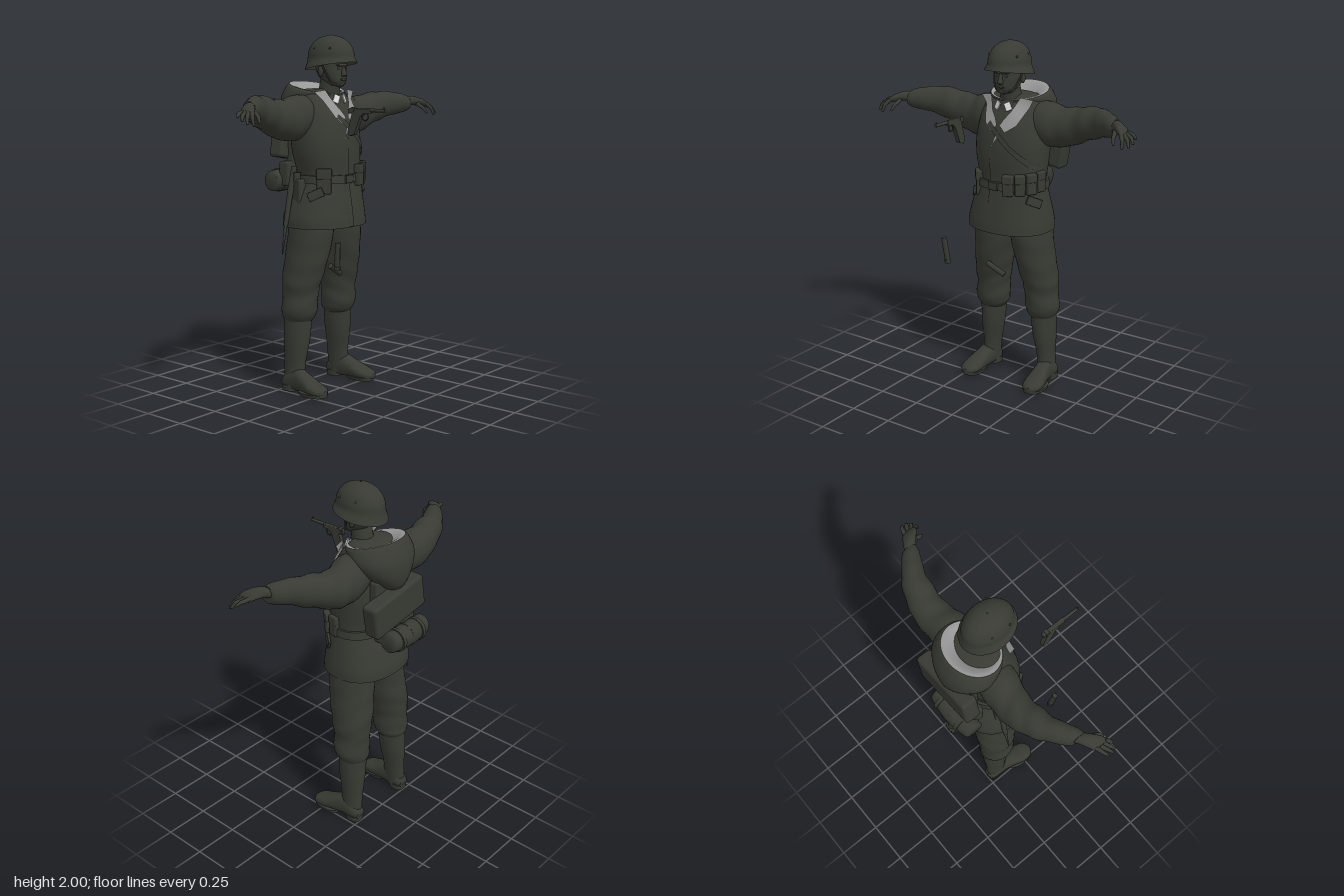
import * as THREE from 'three';
import { toCreasedNormals } from 'three/addons/utils/BufferGeometryUtils.js';
import { RoundedBoxGeometry } from 'three/addons/geometries/RoundedBoxGeometry.js';

const cloth = new THREE.MeshStandardMaterial({ name: 'darkFieldGrey', color: 0x383a33, side: THREE.DoubleSide });
const lining = new THREE.MeshStandardMaterial({ name: 'paleLining', color: 0x989898, side: THREE.DoubleSide });
const white = new THREE.MeshStandardMaterial({ name: 'collarWhite', color: 0xdedede });
const V = (a) => new THREE.Vector3(...a);

// Tube of superellipse rings along an axis; a section is [x, y, z, r1, r2],
// the radii lying along the next two axes in cyclic order (y axis: z, then x).
function loft(axis, secs, { n = 32, p = 2, caps = true, steps = 4, fold = 0, rule } = {}) {
  const A = 'xyz'.indexOf(axis), B = (A + 1) % 3, C = (A + 2) % 3;
  const mid = new THREE.CatmullRomCurve3(secs.map((s) => V(s.slice(0, 3))), false, 'catmullrom', 0.5);
  const rad = new THREE.CatmullRomCurve3(secs.map((s) => V([s[3], s[4], 0])), false, 'catmullrom', 0.5);
  const rows = (secs.length - 1) * steps, pos = [], idx = [];
  const sp = (v) => Math.sign(v) * Math.abs(v) ** (2 / p);
  for (let i = 0; i <= rows; i++) {
    const c = mid.getPoint(i / rows).toArray(), r = rad.getPoint(i / rows);
    for (let j = 0; j < n; j++) {
      const t = (j / n) * Math.PI * 2, q = [...c];
      const k = 1 + fold * Math.sin(i * 1.1 + 3 * Math.sin(t + 0.6)) * Math.sin(Math.PI * i / rows);
      q[B] += r.x * sp(Math.cos(t)) * k;
      q[C] += r.y * sp(Math.sin(t)) * k;
      pos.push(...(rule ? rule(q) : q));
      const a = i * n + j, b = i * n + (j + 1) % n;
      if (i < rows) idx.push(a, b, a + n, b, b + n, a + n);
    }
  }
  if (caps) for (const i of [0, rows]) {
    const c = pos.length / 3, m = mid.getPoint(i / rows).toArray();
    pos.push(...(rule ? rule(m) : m));
    for (let j = 0; j < n; j++) {
      const a = i * n + j, b = i * n + (j + 1) % n;
      idx.push(c, ...(i ? [a, b] : [b, a]));
    }
  }
  const g = new THREE.BufferGeometry();
  g.setAttribute('position', new THREE.Float32BufferAttribute(pos, 3));
  g.setIndex(idx);
  return toCreasedNormals(g, 0.9);
}

// Mirrored copy across x with corrected face order
function mirror(geo) {
  const g = geo.clone().scale(-1, 1, 1);
  for (const at of [g.attributes.position, g.attributes.normal])
    for (let i = 0; i < at.count; i += 3) {
      const a = V([at.getX(i), at.getY(i), at.getZ(i)]);
      at.setXYZ(i, at.getX(i + 1), at.getY(i + 1), at.getZ(i + 1));
      at.setXYZ(i + 1, a.x, a.y, a.z);
    }
  return g;
}

// Open strip between two rows of points
function strip(pairs) {
  const pos = pairs.flat(2), idx = [];
  for (let i = 0; i < pairs.length - 1; i++) idx.push(2 * i, 2 * i + 1, 2 * i + 2, 2 * i + 1, 2 * i + 3, 2 * i + 2);
  const g = new THREE.BufferGeometry();
  g.setAttribute('position', new THREE.Float32BufferAttribute(pos, 3));
  g.setIndex(idx);
  g.computeVertexNormals();
  return g;
}

const JACKET = [
  [-0.01, 0.945, -0.107, 0.205, 0.25], [-0.01, 1.0, -0.107, 0.2, 0.247], [-0.003, 1.1, -0.1, 0.178, 0.225],
  [0.008, 1.2, -0.092, 0.153, 0.198], [0.008, 1.25, -0.092, 0.148, 0.196], [0, 1.35, -0.1, 0.16, 0.21],
  [0, 1.45, -0.107, 0.162, 0.215], [0, 1.55, -0.117, 0.152, 0.2], [0, 1.62, -0.135, 0.135, 0.188],
  [0, 1.68, -0.145, 0.105, 0.16], [0, 1.705, -0.135, 0.065, 0.1]];

// Front surface of the jacket at (x, y)
function frontZ(x, y, off) {
  let i = 0;
  while (i < JACKET.length - 2 && JACKET[i + 1][1] < y) i++;
  const a = JACKET[i], b = JACKET[i + 1], t = Math.min(1, Math.max(0, (y - a[1]) / (b[1] - a[1])));
  const [cx, , cz, rz, rx] = a.map((v, k) => v + (b[k] - v) * t);
  const u = Math.min(1, Math.abs((x - cx) / rx));
  return Math.max(-0.06, cz + rz * (1 - u ** 2.3) ** (1 / 2.3)) + off;
}

export function createModel() {
  const root = new THREE.Group();
  root.name = 'soldier';
  const put = (name, geo, mat = cloth, pos = [0, 0, 0], rot = [0, 0, 0]) => {
    const m = new THREE.Mesh(geo, mat);
    m.name = name;
    m.position.set(...pos);
    m.rotation.set(...rot);
    root.add(m);
    return m;
  };
  const both = (name, geo) => { put(name + 'Left', geo); put(name + 'Right', mirror(geo)); };
  const box = (name, size, pos, rot, mat) => put(name, new RoundedBoxGeometry(...size, 2, Math.min(...size) * 0.2), mat, pos, rot);
  const rod = (name, a, b, ra, rb = ra, n = 10) => {
    const d = V(b).sub(V(a));
    const m = put(name, new THREE.CylinderGeometry(rb, ra, d.length(), n), cloth, V(a).addScaledVector(d, 0.5).toArray());
    m.quaternion.setFromUnitVectors(new THREE.Vector3(0, 1, 0), d.normalize());
    return m;
  };

  // Helmet: dome and flared brim, higher at the front
  put('helmet', loft('y', [
    [0, 1.828, -0.066, 0.158, 0.129], [0, 1.843, -0.066, 0.153, 0.122], [0, 1.87, -0.066, 0.146, 0.108], [0, 1.91, -0.066, 0.14, 0.103],
    [0, 1.955, -0.066, 0.113, 0.084], [0, 1.985, -0.066, 0.068, 0.05], [0, 2.0, -0.066, 0.004, 0.004]],
  { n: 40, caps: false, rule: ([x, y, z]) => [x, y + (z + 0.066) * Math.max(0, 1.9 - y) * 2, z] }));
  for (const s of [-1, 1]) for (const z of [0.0, -0.11])
    put('helmetRivet', new THREE.SphereGeometry(0.006, 8, 6), cloth, [s * 0.09, 1.925, z]);

  // Head and face
  put('head', loft('y', [
    [0, 1.722, -0.025, 0.037, 0.036], [0, 1.745, -0.038, 0.06, 0.057], [0, 1.78, -0.058, 0.08, 0.071],
    [0, 1.82, -0.066, 0.086, 0.077], [0, 1.87, -0.07, 0.09, 0.077], [0, 1.93, -0.07, 0.07, 0.06]], { p: 2.3 }));
  put('nose', loft('y', [[0, 1.772, 0.018, 0.012, 0.014], [0, 1.782, 0.022, 0.023, 0.015], [0, 1.83, 0.013, 0.014, 0.008]], { n: 12 }));
  put('lips', new THREE.SphereGeometry(1, 14, 8).scale(0.024, 0.008, 0.014), cloth, [0, 1.756, 0.016]);
  put('chin', new THREE.SphereGeometry(0.02, 12, 8), cloth, [0, 1.735, 0.003]);
  put('brow', new THREE.SphereGeometry(1, 14, 8).scale(0.052, 0.009, 0.016), cloth, [0, 1.835, 0.011]);
  for (const s of [-1, 1]) {
    put('ear', new THREE.SphereGeometry(1, 10, 8).scale(0.012, 0.03, 0.018), cloth, [s * 0.08, 1.8, -0.075]);
    put('eye', new THREE.SphereGeometry(0.009, 10, 8), cloth, [s * 0.03, 1.817, 0.01]);
    put('chinStrap', new THREE.TubeGeometry(new THREE.CatmullRomCurve3(
      [[0.092, 1.84, -0.06], [0.08, 1.79, -0.035], [0.055, 1.738, -0.012], [0, 1.716, 0.0]].map(([x, y, z]) => V([s * x, y, z]))), 16, 0.005, 6));
  }
  rod('neck', [0, 1.57, -0.1], [0, 1.76, -0.07], 0.062, 0.056, 24);

  // Jacket body, hood draped down the back, and collar
  put('jacket', loft('y', JACKET, { n: 48, p: 2.3 }));
  const tilt = ([x, y, z]) => [x, y + Math.max(0, y - 1.5) * 1.1 * (-0.15 - z), z];
  put('hood', loft('y', [
    [0, 1.46, -0.28, 0.04, 0.025], [0, 1.51, -0.27, 0.09, 0.09], [0, 1.57, -0.245, 0.125, 0.16],
    [0, 1.63, -0.215, 0.145, 0.195], [0, 1.69, -0.18, 0.148, 0.184], [0, 1.708, -0.17, 0.143, 0.168]], { n: 40, caps: false, rule: tilt }));
  put('hoodLining', loft('y', [
    [0, 1.708, -0.17, 0.143, 0.168], [0, 1.703, -0.165, 0.12, 0.14], [0, 1.67, -0.14, 0.1, 0.1], [0, 1.6, -0.12, 0.07, 0.07]],
  { n: 40, caps: false, rule: tilt }), lining);
  put('tunicCollar', loft('y', [[0, 1.57, -0.085, 0.095, 0.09], [0, 1.63, -0.085, 0.08, 0.078], [0, 1.675, -0.088, 0.07, 0.07]], { caps: false }));
  const at = (x, y, off) => [x, y, frontZ(x, y, off)];
  for (const s of [-1, 1]) {
    const w = s > 0 ? 1.06 : 0.9;
    put('lapel', strip([
      [at(s * 0.168, 1.69, 0.015), at(s * 0.095, 1.7, 0.03)], [at(s * 0.137 * w, 1.645, 0.02), at(s * 0.076, 1.66, 0.025)],
      [at(s * 0.12 * w, 1.6, 0.016), at(s * 0.056, 1.62, 0.018)], [at(s * 0.1 * w, 1.555, 0.014), at(s * 0.028, 1.585, 0.014)],
      [at(s * 0.045, 1.515, 0.012), at(s * 0.008, 1.55, 0.012)]]), lining);
    box('collarTab', [0.036, 0.046, 0.008], [s * 0.034, 1.65, 0.0], [-0.25, s * 0.4, s * 0.5], white);
    box('pocketFlap', [0.09, 0.05, 0.014], [s * 0.2, 1.135, -0.01], [-0.15, s * 0.95, s * -0.3]);
  }
  put('openFacing', strip([[at(0.008, 1.52, 0.01), at(-0.012, 1.5, 0.01)], [at(0.0, 1.48, 0.01), at(-0.035, 1.43, 0.01)]]), lining);

  // Front placket and diagonal sling
  const ribbon = (name, pts, w, off) => put(name, strip(Array.from({ length: 13 }, (_, i) => {
    const [a, b] = pts, t = i / 12, x = a[0] + (b[0] - a[0]) * t, y = a[1] + (b[1] - a[1]) * t;
    const l = Math.hypot(b[0] - a[0], b[1] - a[1]), nx = (b[1] - a[1]) / l * w, ny = (a[0] - b[0]) / l * w;
    return [at(x - nx, y - ny, off), at(x + nx, y + ny, off)];
  })));
  ribbon('placket', [[-0.025, 0.95], [-0.025, 1.44]], 0.02, 0.006);
  ribbon('slingStrap', [[-0.08, 1.57], [0.2, 1.33]], 0.014, 0.012);

  // Belt with buckle and pouches set around the waist
  put('belt', loft('y', [[0.008, 1.19, -0.092, 0.166, 0.21], [0.008, 1.235, -0.092, 0.161, 0.207]], { n: 48, p: 2.3 }));
  box('buckle', [0.06, 0.045, 0.014], [-0.015, 1.212, 0.075], [0, 0, 0]);
  const around = (name, deg, size, y, out = 0) => {
    const f = deg * Math.PI / 180;
    return box(name, size, [0.008 + (0.21 + out) * Math.sin(f), y, -0.092 + (0.172 + out) * Math.cos(f)], [0, f, 0]);
  };
  for (const [deg, lift] of [[20, 0], [39, 0.004], [58, 0.01], [80, 0.015]]) {
    const out = deg > 70 ? -0.012 : 0;
    around('ammoPouch', deg, [0.058, 0.105, 0.038], 1.222 + lift, out);
    around('ammoPouchFlap', deg, [0.062, 0.05, 0.045], 1.262 + lift, out);
  }
  around('holster', -52, [0.08, 0.13, 0.04], 1.2, -0.008);
  around('holsterFlap', -52, [0.084, 0.06, 0.047], 1.245, -0.008);
  around('canteen', -105, [0.1, 0.17, 0.06], 1.13);
  rod('canteenCap', [-0.21, 1.2, -0.137], [-0.21, 1.25, -0.137], 0.02);

  // Bayonet at the right hip
  rod('bayonetHandle', [-0.205, 1.28, -0.16], [-0.228, 1.17, -0.165], 0.016);
  rod('scabbard', [-0.228, 1.17, -0.165], [-0.268, 0.96, -0.17], 0.018, 0.013);
  rod('bayonetTip', [-0.268, 0.96, -0.17], [-0.296, 0.8, -0.17], 0.01, 0.003);

  // Pack box hung at a slant, rolled bundle and bread bag on the back
  box('packBox', [0.4, 0.19, 0.095], [0.02, 1.385, -0.32], [0, 0, -0.17]);
  box('packFrame', [0.26, 0.27, 0.05], [0, 1.4, -0.265], [0, 0, 0]);
  box('breadBag', [0.26, 0.14, 0.07], [-0.04, 1.23, -0.275], [0, 0, 0]);
  put('bedroll', loft('x', [
    [-0.205, 1.187, -0.335, 0.05, 0.05], [-0.185, 1.187, -0.338, 0.059, 0.056], [-0.06, 1.187, -0.35, 0.064, 0.064],
    [0.07, 1.187, -0.342, 0.059, 0.058], [0.09, 1.187, -0.34, 0.05, 0.05]], { n: 28 }));
  for (const x of [-0.13, -0.05, 0.03]) rod('bedrollStrap', [x - 0.011, 1.187, -0.348], [x + 0.011, 1.187, -0.348], 0.066, 0.066, 28);

  // Sleeves, palms and fingers
  both('sleeve', loft('x', [
    [0.08, 1.57, -0.14, 0.105, 0.1], [0.2, 1.55, -0.15, 0.124, 0.108], [0.28, 1.54, -0.16, 0.112, 0.098], [0.36, 1.55, -0.167, 0.105, 0.092],
    [0.44, 1.577, -0.155, 0.094, 0.085], [0.52, 1.595, -0.135, 0.083, 0.075], [0.58, 1.606, -0.1, 0.07, 0.068],
    [0.64, 1.607, -0.065, 0.058, 0.058], [0.67, 1.607, -0.048, 0.046, 0.046]], { fold: 0.03 }));
  both('palm', loft('x', [
    [0.64, 1.61, -0.06, 0.03, 0.034], [0.69, 1.622, -0.025, 0.028, 0.04], [0.735, 1.612, 0.008, 0.023, 0.047], [0.765, 1.597, 0.022, 0.013, 0.042]], { n: 20 }));
  const fingers = [
    [[0.7, 1.605, 0.02], [0.712, 1.578, 0.058], [0.722, 1.552, 0.075]], [[0.752, 1.603, 0.052], [0.772, 1.575, 0.075], [0.778, 1.542, 0.088]],
    [[0.76, 1.6, 0.036], [0.795, 1.578, 0.06], [0.808, 1.55, 0.075]], [[0.763, 1.6, 0.016], [0.803, 1.588, 0.037], [0.82, 1.565, 0.05]],
    [[0.755, 1.602, -0.008], [0.797, 1.598, 0.005], [0.818, 1.583, 0.018]]];
  for (const s of [-1, 1]) for (const f of fingers) {
    const [a, b, c] = f.map(([x, y, z]) => [s * x, y, z]);
    rod('fingerBase', a, b, 0.0125, 0.0105);
    rod('fingerTip', b, c, 0.0105, 0.007);
    put('knuckle', new THREE.SphereGeometry(0.0107, 10, 8), cloth, b);
    put('fingertip', new THREE.SphereGeometry(0.0072, 8, 6), cloth, c);
  }

  // Trousers bloused over tall boots
  put('trouserSeat', loft('y', [[0, 0.905, -0.135, 0.05, 0.08], [0, 0.935, -0.125, 0.11, 0.17], [0, 1.0, -0.11, 0.14, 0.22]]));
  both('trouserLeg', loft('y', [
    [0.172, 0.405, -0.166, 0.078, 0.07], [0.17, 0.435, -0.163, 0.096, 0.09], [0.172, 0.48, -0.156, 0.103, 0.1], [0.165, 0.55, -0.155, 0.105, 0.094],
    [0.162, 0.62, -0.15, 0.114, 0.101], [0.15, 0.7, -0.14, 0.127, 0.106], [0.136, 0.8, -0.125, 0.133, 0.11],
    [0.122, 0.9, -0.115, 0.136, 0.117], [0.115, 1.0, -0.11, 0.13, 0.115]], { fold: 0.016 }));
  both('bootShaft', loft('y', [
    [0.197, 0.03, -0.18, 0.06, 0.044], [0.193, 0.1, -0.178, 0.067, 0.046], [0.188, 0.18, -0.176, 0.069, 0.051],
    [0.18, 0.3, -0.17, 0.081, 0.066], [0.173, 0.43, -0.166, 0.084, 0.073]]));
  both('bootFoot', loft('z', [
    [0.197, 0.045, -0.248, 0.03, 0.03], [0.198, 0.058, -0.215, 0.044, 0.05], [0.2, 0.073, -0.14, 0.047, 0.066], [0.207, 0.062, -0.08, 0.051, 0.054],
    [0.215, 0.046, -0.01, 0.06, 0.036], [0.218, 0.037, 0.045, 0.05, 0.025], [0.218, 0.033, 0.072, 0.02, 0.012]], { p: 2.3 }));
  both('bootSole', loft('y', [[0.216, 0.006, -0.02, 0.088, 0.06], [0.216, 0.024, -0.02, 0.09, 0.064]], { p: 2.3, steps: 1 }));
  both('bootHeel', loft('y', [[0.198, 0, -0.203, 0.045, 0.042], [0.198, 0.035, -0.203, 0.047, 0.045]], { p: 2.8, steps: 1 }));

  // Loose pistol in front of the right shoulder
  const grip = new THREE.Shape([[0.285, 1.585], [0.26, 1.565], [0.22, 1.47], [0.185, 1.46], [0.175, 1.485], [0.205, 1.585]].map((q) => new THREE.Vector2(...q)));
  put('pistolGrip', new THREE.ExtrudeGeometry(grip, { depth: 0.024, bevelEnabled: false }), cloth, [-0.128, 0, 0], [0, -Math.PI / 2, 0]);
  box('pistolReceiver', [0.024, 0.028, 0.145], [-0.14, 1.594, 0.25], [0, 0, 0]);
  rod('pistolBarrel', [-0.14, 1.6, 0.31], [-0.14, 1.6, 0.418], 0.01, 0.008, 14);
  box('pistolSight', [0.006, 0.014, 0.01], [-0.14, 1.61, 0.41], [0, 0, 0]);
  rod('pistolToggle', [-0.154, 1.6, 0.205], [-0.126, 1.6, 0.205], 0.014, 0.014, 14);
  put('triggerGuard', new THREE.TorusGeometry(0.02, 0.004, 6, 18), cloth, [-0.14, 1.565, 0.285], [0, Math.PI / 2, 0]);

  // Loose magazine and the slim case against the thigh
  rod('magazine', [-0.25, 0.755, 0.185], [-0.264, 0.9, 0.2], 0.016, 0.016, 6);
  rod('magazineFoot', [-0.25, 0.75, 0.184], [-0.252, 0.77, 0.187], 0.019, 0.019, 6);
  rod('slimCase', [-0.1, 0.728, 0.012], [0.005, 0.668, -0.008], 0.016, 0.016, 6);
  return root;
}
